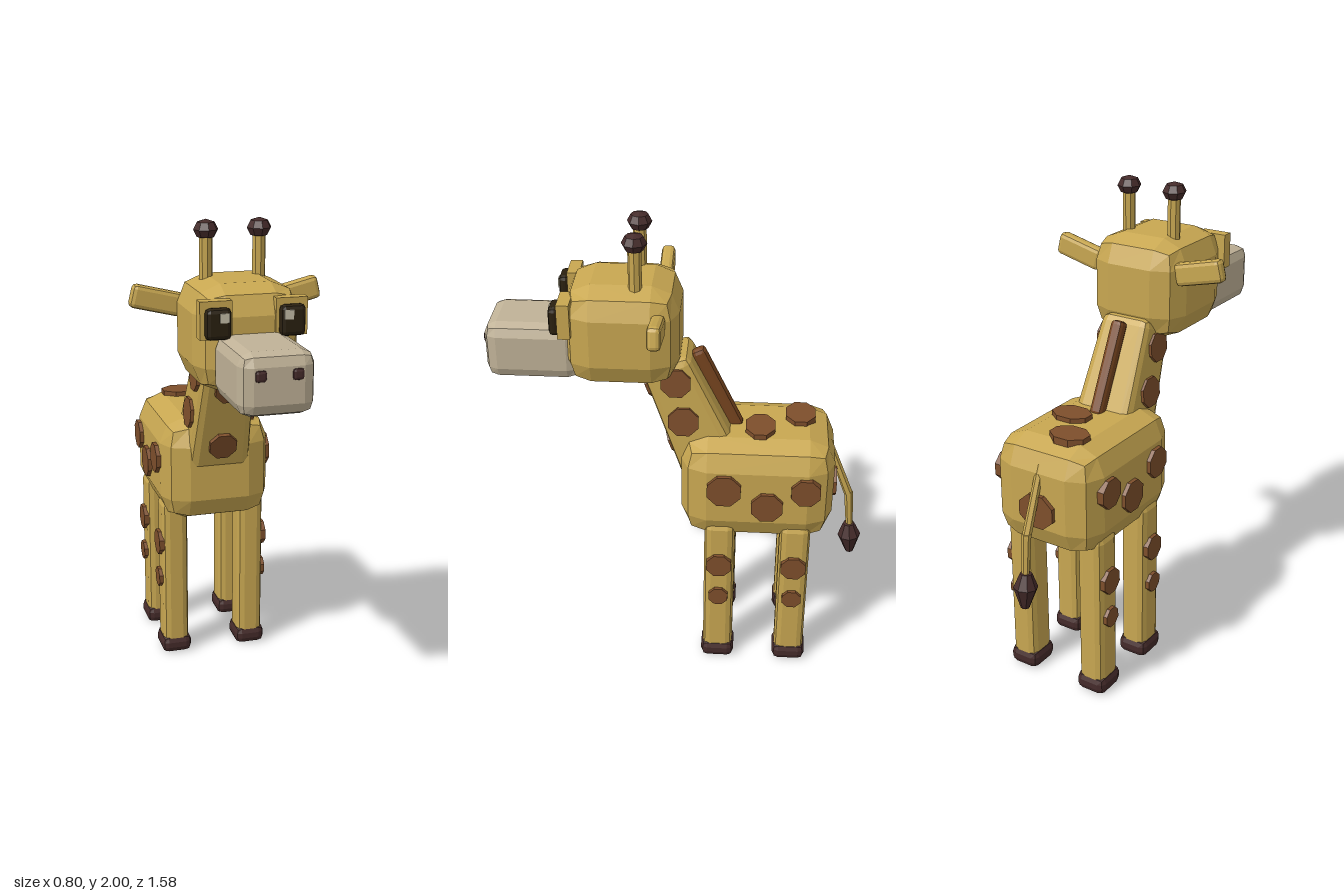
import * as THREE from 'three';
import { RoundedBoxGeometry } from 'three/addons/geometries/RoundedBoxGeometry.js';

const mat = (name, color) => {
  const m = new THREE.MeshStandardMaterial({ color, flatShading: true });
  m.name = name;
  return m;
};

export function createModel() {
  const model = new THREE.Group();
  const coat = mat('tan coat', 0xc8a751);
  const patch = mat('brown patches', 0x7e4f2c);
  const maneBrown = mat('mane brown', 0x77451f);
  const dark = mat('dark brown', 0x452b2a);
  const beige = mat('beige muzzle', 0xc0b297);
  const black = mat('eye black', 0x2a2010);
  const glint = mat('eye glint', 0xc4bda8);

  const add = (name, geometry, material, x, y, z, rx = 0, rz = 0) => {
    const mesh = new THREE.Mesh(geometry, material);
    mesh.name = name;
    mesh.position.set(x, y, z);
    mesh.rotation.set(rx, 0, rz);
    model.add(mesh);
    return mesh;
  };
  const box = (w, h, d, r) => new RoundedBoxGeometry(w, h, d, 1, r);

  // Raised octagonal patch; a and b are its half widths across the flats
  const up = new THREE.Vector3(0, 1, 0);
  const spot = (name, x, y, z, normal, a, b = a) => {
    const g = new THREE.CylinderGeometry(1 / 0.924, 1 / 0.924, 0.04, 8);
    g.rotateY(Math.PI / 8);
    g.scale(a, 1, b);
    const m = add(name, g, patch, x, y, z);
    m.quaternion.setFromUnitVectors(up, new THREE.Vector3(...normal).normalize());
  };

  // Rod between two points in the x = 0 plane
  const rod = (name, z1, y1, z2, y2, r1, r2) => {
    const len = Math.hypot(z2 - z1, y2 - y1);
    add(name, new THREE.CylinderGeometry(r1, r2, len, 6), coat,
      0, (y1 + y2) / 2, (z1 + z2) / 2, Math.atan2(z1 - z2, y1 - y2));
  };

  // Body
  add('body', box(0.48, 0.46, 0.64, 0.11), coat, 0, 0.89, -0.322);

  // Neck: rounded block, wider toward the base, leaning forward
  const neckLen = 0.527;
  const neck = box(0.25, neckLen, 0.24, 0.035);
  const p = neck.attributes.position;
  for (let i = 0; i < p.count; i++) {
    const t = p.getY(i) / neckLen + 0.5;
    p.setX(i, p.getX(i) * (1.1 - 0.22 * t));
    p.setZ(i, p.getZ(i) * (1.13 - 0.29 * t));
  }
  add('neck', neck, coat, 0, 1.193, -0.032, 0.4);
  add('mane', box(0.055, 0.4, 0.06, 0.018), maneBrown, 0, 1.28, -0.145, 0.45);

  // Head and muzzle
  add('head', box(0.42, 0.42, 0.46, 0.11), coat, 0, 1.57, 0.235);
  add('muzzle', box(0.29, 0.24, 0.38, 0.05), beige, 0, 1.485, 0.597);

  for (const s of [-1, 1]) {
    // Face details
    add('eyeSurround', new THREE.BoxGeometry(0.125, 0.145, 0.05), coat, s * 0.148, 1.665, 0.45);
    add('eye', box(0.1, 0.12, 0.045, 0.018), black, s * 0.145, 1.655, 0.49);
    add('eyeGlint', new THREE.BoxGeometry(0.036, 0.036, 0.008), glint, s * 0.125, 1.68, 0.512);
    add('nostril', box(0.046, 0.046, 0.03, 0.012), dark, s * 0.07, 1.525, 0.78);

    // Ears and horns
    add('ear', box(0.215, 0.095, 0.056, 0.018), coat, s * 0.287, 1.675, 0.085, 0, s * 0.24);
    add('horn', new THREE.CylinderGeometry(0.027, 0.027, 0.22, 8), coat, s * 0.108, 1.84, 0.178);
    const tip = new THREE.SphereGeometry(0.05, 8, 4);
    tip.scale(1, 0.8, 1);
    add('hornTip', tip, dark, s * 0.108, 1.96, 0.178);

    // Legs, hooves and leg patches
    for (const z of [-0.17, -0.49]) {
      add('leg', box(0.115, 0.7, 0.13, 0.03), coat, s * 0.173, 0.39, z);
      add('hoof', box(0.135, 0.08, 0.145, 0.028), dark, s * 0.173, 0.04, z);
      spot('upperLegPatch', s * 0.226, 0.53, z, [s, 0, 0], 0.053);
      spot('lowerLegPatch', s * 0.226, 0.36, z, [s, 0, 0], 0.041);
    }

    // Side patches on body and neck
    const shift = s < 0 ? 0.02 : 0;
    spot('bodyPatch', s * 0.237, 0.93, -0.185 + shift, [s, 0, 0], s > 0 ? 0.07 : 0.062);
    spot('bodyPatch', s * 0.237, 0.855, -0.365 + shift, [s, 0, 0], 0.065);
    spot('bodyPatch', s * 0.237, 0.935, -0.523 + shift, [s, 0, 0], 0.06);
    spot('neckPatch', s * 0.108, 1.36 - shift, 0.022 + shift, [s, 0.07, 0], 0.06);
    spot('neckPatch', s * 0.118, 1.185 - shift, -0.01 - shift, [s, 0.07, 0], 0.062);
  }

  // Patches on back, rump and front of neck
  spot('backPatch', -0.055, 1.12, -0.495, [0, 1, 0], 0.08, 0.062);
  spot('backPatch', 0.055, 1.12, -0.327, [0, 1, 0], 0.082, 0.061);
  spot('rumpPatch', 0, 0.85, -0.64, [0, 0, -1], 0.08, 0.07);
  spot('throatPatch', 0, 1.3, 0.128, [0, -0.34, 0.94], 0.058);
  spot('throatPatch', 0, 1.03, 0.034, [0, -0.34, 0.94], 0.058);

  // Tail with a tuft
  rod('tailUpper', -0.615, 1.04, -0.722, 0.765, 0.016, 0.019);
  rod('tailLower', -0.72, 0.78, -0.738, 0.58, 0.019, 0.015);
  const tuft = new THREE.LatheGeometry(
    [[0, -0.078], [0.018, -0.075], [0.05, 0.015], [0.025, 0.075], [0, 0.078]]
      .map(([x, y]) => new THREE.Vector2(x, y)), 8);
  add('tailTuft', tuft, dark, 0, 0.535, -0.74, 0.09);

  return model;
}
